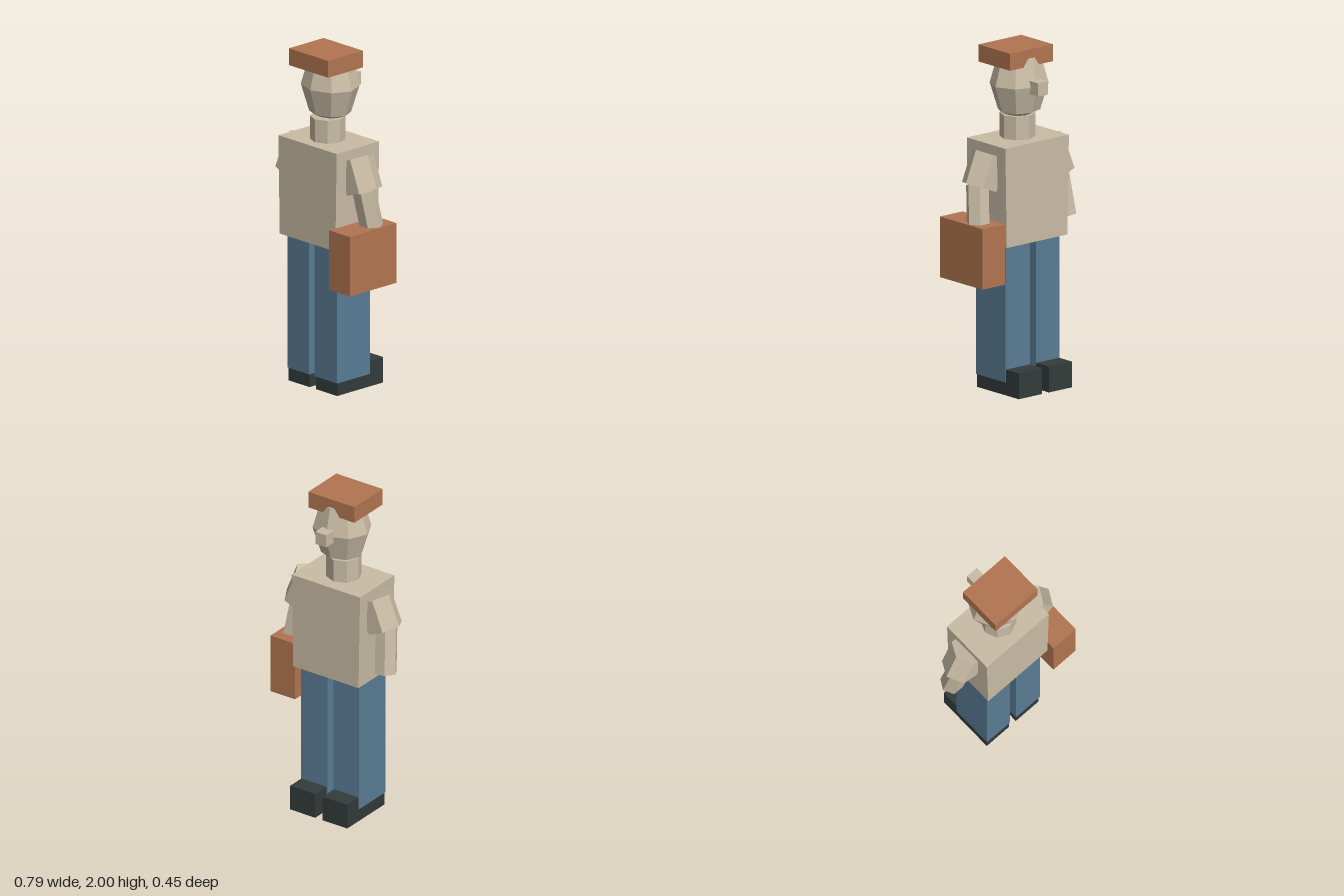
import * as THREE from 'three';

const material = (name, color) => {
  const m = new THREE.MeshStandardMaterial({ color, flatShading: true });
  m.name = name;
  return m;
};

export function createModel() {
  const cream = material('cream', 0xc9bca5);
  const rust = material('rust', 0xb27551);
  const denim = material('denim', 0x597c95);
  const charcoal = material('charcoal', 0x333b3b);

  const model = new THREE.Group();
  model.name = 'blockFigure';

  const add = (name, geometry, mat) => {
    const mesh = new THREE.Mesh(geometry, mat);
    mesh.name = name;
    model.add(mesh);
    return mesh;
  };

  // Box given by its extents along each axis
  const box = (name, mat, [x0, x1], [y0, y1], [z0, z1]) => {
    const mesh = add(name, new THREE.BoxGeometry(x1 - x0, y1 - y0, z1 - z0), mat);
    mesh.position.set((x0 + x1) / 2, (y0 + y1) / 2, (z0 + z1) / 2);
    return mesh;
  };

  // Six-sided limb between two points, corners pointing sideways
  const limb = (name, radius, from, to) => {
    const a = new THREE.Vector3(...from);
    const b = new THREE.Vector3(...to);
    const length = a.distanceTo(b);
    const geometry = new THREE.CylinderGeometry(radius, radius, length, 6, 1, false, Math.PI / 2);
    const mesh = add(name, geometry, cream);
    mesh.position.copy(a).add(b).multiplyScalar(0.5);
    mesh.quaternion.setFromUnitVectors(new THREE.Vector3(0, 1, 0), a.sub(b).normalize());
  };

  // Torso, slightly narrower at the waist
  const torso = box('torso', cream, [-0.243, 0.235], [0.88, 1.465], [-0.157, 0.177]);
  const p = torso.geometry.attributes.position;
  for (let i = 0; i < p.count; i++) if (p.getY(i) < 0) p.setX(i, p.getX(i) * 0.955);

  // Neck
  const neck = add('neck', new THREE.CylinderGeometry(0.102, 0.102, 0.145, 8), cream);
  neck.position.set(-0.006, 1.53, 0.016);

  // Faceted head
  const profile = [[0, 1.572], [0.127, 1.626], [0.178, 1.785], [0.13, 1.945], [0, 1.985]];
  const head = add('head', new THREE.LatheGeometry(profile.map(([r, y]) => new THREE.Vector2(r, y)), 8), cream);
  head.scale.z = 0.88;
  head.position.set(-0.004, 0, -0.001);

  // Nose and flat hat
  box('nose', cream, [-0.043, 0.033], [1.747, 1.825], [-0.208, -0.1]);
  box('hat', rust, [-0.167, 0.156], [1.9, 2.0], [-0.106, 0.168]);

  // Arms
  limb('leftUpperArm', 0.106, [0.215, 1.4, 0.008], [0.289, 1.217, 0.008]);
  limb('rightUpperArm', 0.106, [-0.226, 1.4, 0.008], [-0.3, 1.217, 0.008]);
  limb('leftForearm', 0.068, [0.293, 1.228, 0.018], [0.325, 0.955, -0.026]);
  limb('rightForearm', 0.068, [-0.304, 1.226, 0.015], [-0.328, 0.954, -0.026]);

  // Case carried on the left
  box('case', rust, [0.223, 0.395], [0.662, 1.018], [-0.142, 0.227]);

  // Legs and shoes
  box('leftLeg', denim, [0.015, 0.2], [0.077, 0.885], [-0.117, 0.139]);
  box('rightLeg', denim, [-0.207, -0.03], [0.077, 0.885], [-0.117, 0.139]);
  box('leftShoe', charcoal, [0.02, 0.195], [0, 0.152], [-0.227, 0.134]);
  box('rightShoe', charcoal, [-0.204, -0.032], [0, 0.152], [-0.227, 0.134]);

  return model;
}
